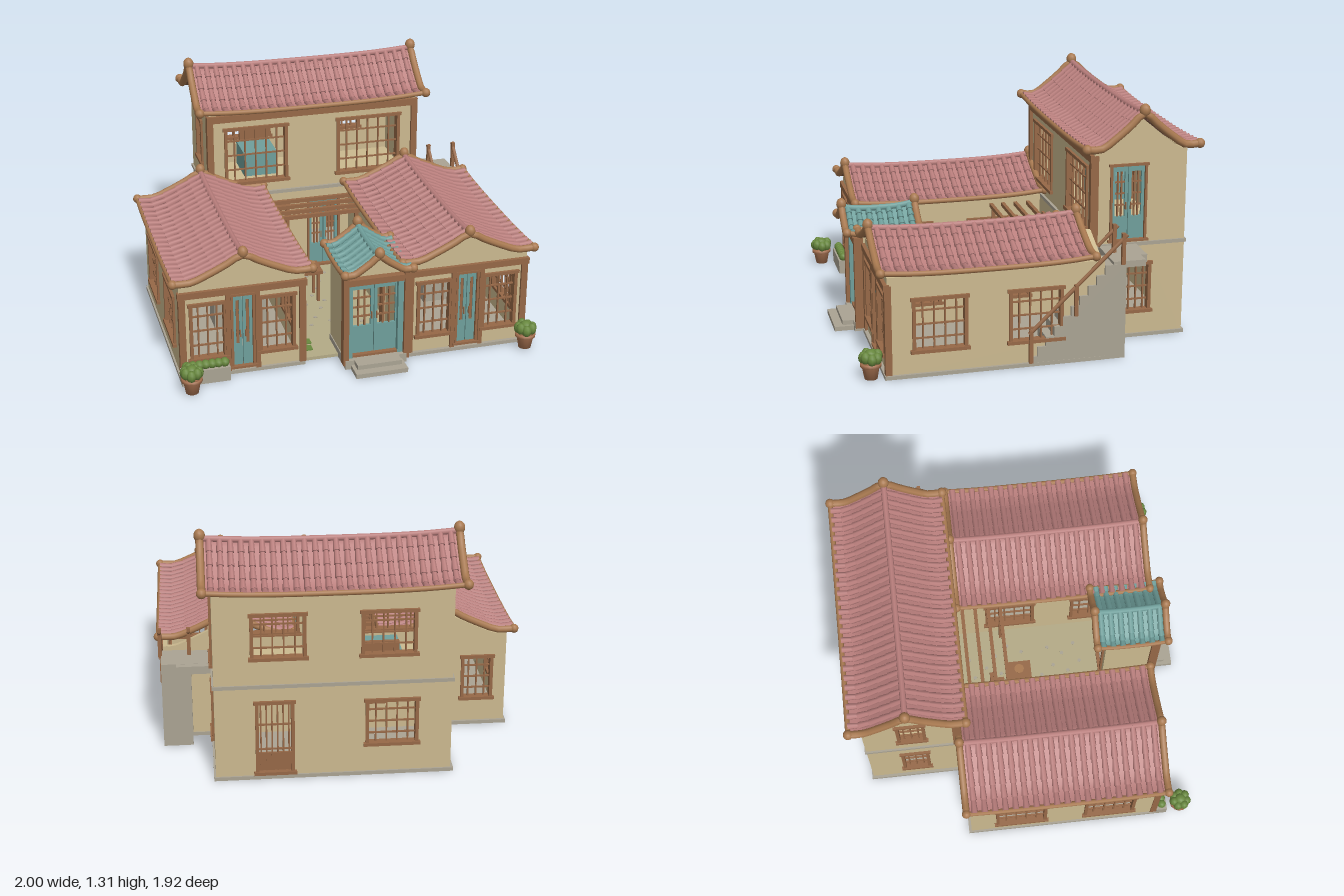
import * as THREE from 'three';
import { mergeGeometries } from 'three/addons/utils/BufferGeometryUtils.js';

const mat = (name, color, side = THREE.FrontSide) => {
  const m = new THREE.MeshStandardMaterial({ color, side });
  m.name = name;
  return m;
};
const V = (x, y, z) => new THREE.Vector3(x, y, z);

export function createModel() {
  const M = {
    cream: mat('cream plaster', 0xcbb98f), wood: mat('brown wood', 0x966847),
    trim: mat('roof trim', 0xa87950), pink: mat('pink tile', 0xb97e7c, THREE.DoubleSide),
    teal: mat('teal paint', 0x6f9f9b, THREE.DoubleSide), stone: mat('grey stone', 0xaaa393),
    ground: mat('courtyard earth', 0xb3aa86), green: mat('leaf green', 0x68883e),
    pot: mat('terracotta', 0xaa7452), soffit: mat('soffit wood', 0x7f5a42, THREE.DoubleSide),
  };
  const model = new THREE.Group();
  model.name = 'courtyardHouse';
  const group = (name, parent = model) => {
    const g = new THREE.Group();
    g.name = name;
    parent.add(g);
    return g;
  };
  const mesh = (parent, name, geo, m, x = 0, y = 0, z = 0) => {
    const o = new THREE.Mesh(geo, m);
    o.name = name;
    o.position.set(x, y, z);
    parent.add(o);
    return o;
  };
  // Box given by its limits on each axis
  const box = (p, name, m, x0, x1, y0, y1, z0, z1) =>
    mesh(p, name, new THREE.BoxGeometry(x1 - x0, y1 - y0, z1 - z0), m, (x0 + x1) / 2, (y0 + y1) / 2, (z0 + z1) / 2);
  const tube = (p, name, pts, r, m) =>
    mesh(p, name, new THREE.TubeGeometry(new THREE.CatmullRomCurve3(pts), pts.length * 2, r, 8), m);

  // Sagging roof profile: height at distance d from the ridge
  const profile = (half, low, ridge) => {
    const g = [1, 0.66, 0.33, 0.06, 0.07];
    const c = new THREE.CatmullRomCurve3(g.map((v, i) => V(i / 4, low + (ridge - low) * v, 0)), false, 'catmullrom', 0.5);
    return d => c.getPoint(Math.min(1, Math.abs(d) / half)).y;
  };

  // Curved gable roof, ridge along local z
  function roof(name, half, len, prof, tile, ribs, ballR) {
    const g = group(name);
    const P = (t, s, dy = 0) => V(t * half, prof(t * half) + 0.02 * Math.abs(s) ** 3 + dy, s * len / 2);
    const sheet = (n, m, dy) => {
      const geo = new THREE.PlaneGeometry(2, 2, 20, 12), a = geo.attributes.position;
      for (let i = 0; i < a.count; i++) {
        const v = P(a.getX(i), -a.getY(i), dy);
        a.setXYZ(i, v.x, v.y, v.z);
      }
      geo.computeVertexNormals();
      mesh(g, n, geo, m);
    };
    sheet('tileBed', tile, 0);
    sheet('soffit', M.soffit, -0.015);
    // Ribs of tapered cover tiles, five courses per slope
    const parts = [], r = len / ribs * 0.31;
    for (let i = 0; i < ribs; i++) for (const k of [-1, 1]) for (let c = 0; c < 5; c++) {
      const s = ((i + 0.5) / ribs * 2 - 1) * 0.97;
      const a = P(k * c / 5, s, 0.006), b = P(k * (c + 1) / 5, s, 0.006), d = a.clone().sub(b);
      const geo = new THREE.CylinderGeometry(r * 0.8, r * 1.1, d.length(), 7);
      geo.applyQuaternion(new THREE.Quaternion().setFromUnitVectors(V(0, 1, 0), d.normalize()));
      geo.translate((a.x + b.x) / 2, (a.y + b.y) / 2, (a.z + b.z) / 2);
      parts.push(geo);
    }
    mesh(g, 'coverTiles', mergeGeometries(parts), tile);
    const along = [-1, -0.75, -0.5, -0.25, 0, 0.25, 0.5, 0.75, 1];
    tube(g, 'ridge', along.map(s => P(0, s, 0.004)), 0.017, tile);
    for (const e of [-1, 1]) {
      tube(g, 'eaveTrim', along.map(s => P(e, s)), 0.014, M.trim);
      tube(g, 'verge', along.map(t => P(t, e)), ballR * 0.78, M.trim);
      const top = P(0, e, 0.018);
      mesh(g, 'ridgeBall', new THREE.SphereGeometry(ballR * 1.1, 12, 10), M.trim, top.x, top.y, top.z).scale.y = 1.2;
      for (const k of [-1, 1]) {
        const v = P(k, e);
        mesh(g, 'eaveBall', new THREE.SphereGeometry(ballR, 12, 8), M.trim, v.x, v.y, v.z);
      }
    }
    return g;
  }

  // Lattice of bars filling a rectangle in the local xy plane
  function lattice(g, x0, x1, y0, y1, cols, rows) {
    for (let i = 1; i < cols; i++) {
      const x = x0 + (x1 - x0) * i / cols;
      box(g, 'latticeBar', M.wood, x - 0.004, x + 0.004, y0, y1, -0.018, -0.006);
    }
    for (let i = 1; i < rows; i++) {
      const y = y0 + (y1 - y0) * i / rows;
      box(g, 'latticeRail', M.wood, x0, x1, y - 0.004, y + 0.004, -0.017, -0.007);
    }
  }
  function frame(g, x0, x1, y0, y1, f = 0.018) {
    box(g, 'jamb', M.wood, x0, x0 + f, y0, y1, -0.03, 0.012);
    box(g, 'jamb', M.wood, x1 - f, x1, y0, y1, -0.03, 0.012);
    box(g, 'head', M.wood, x0 - 0.008, x1 + 0.008, y1 - f, y1, -0.03, 0.015);
    box(g, 'sill', M.wood, x0 - 0.01, x1 + 0.01, y0, y0 + f, -0.03, 0.02);
  }
  function windowUnit(g, x0, x1, y0, y1) {
    frame(g, x0, x1, y0, y1);
    lattice(g, x0, x1, y0, y1, x1 - x0 > 0.3 ? 6 : x1 - x0 > 0.22 ? 5 : 4, 4);
  }
  // Double door: teal lower panels, lattice above
  function doorUnit(g, x0, x1, y0, y1, panel = 0.32) {
    frame(g, x0, x1, y0, y1, 0.013);
    const mid = (x0 + x1) / 2, yp = y0 + (y1 - y0) * panel;
    for (const [a, b, hx] of [[x0 + 0.013, mid - 0.002, mid - 0.014], [mid + 0.002, x1 - 0.013, mid + 0.014]]) {
      box(g, 'doorPanel', M.teal, a, b, y0 + 0.013, yp, -0.02, -0.005);
      for (const e of [a, b - 0.016]) box(g, 'doorStile', M.teal, e, e + 0.016, yp, y1 - 0.013, -0.02, -0.004);
      box(g, 'doorTopRail', M.teal, a, b, y1 - 0.045, y1 - 0.013, -0.02, -0.005);
      lattice(g, a + 0.014, b - 0.014, yp, y1 - 0.04, 3, 4);
      box(g, 'doorHandle', M.wood, hx - 0.003, hx + 0.003, yp + 0.04, yp + 0.08, -0.005, 0.006);
    }
  }
  const slatUnit = (g, x0, x1, y0, y1) => {
    frame(g, x0, x1, y0, y1);
    lattice(g, x0, x1, y0, y1, 7, 3);
    box(g, 'slatPanel', M.wood, x0, x1, y0, y0 + 0.12, -0.02, -0.008);
  };

  // Wall along x (front, back) or z (left, right); openings are [a0, a1, y0, y1, unit]
  const DIR = { front: [0, 1], right: [Math.PI / 2, -1], back: [Math.PI, -1], left: [-Math.PI / 2, 1] };
  function wall(parent, dir, plane, a0, a1, top, openings = []) {
    const [rot, k] = DIR[dir], g = group(dir + 'Wall', parent);
    g.rotation.y = rot;
    g.position[dir === 'front' || dir === 'back' ? 'z' : 'x'] = plane;
    const pts = [[a0, 0.01], [a1, 0.01]];
    for (let i = 0; i <= 16; i++) {
      const a = a1 + (a0 - a1) * i / 16;
      pts.push([a, typeof top === 'number' ? top : top(a) - 0.012]);
    }
    const shape = new THREE.Shape(pts.map(p => new THREE.Vector2(p[0] * k, p[1])));
    for (const [p, q, y0, y1, unit] of openings) {
      const u0 = Math.min(p * k, q * k), u1 = Math.max(p * k, q * k);
      shape.holes.push(new THREE.Path([[u0, y0], [u0, y1], [u1, y1], [u1, y0]].map(c => new THREE.Vector2(...c))));
      unit(g, u0, u1, y0, y1);
    }
    const geo = new THREE.ExtrudeGeometry(shape, { depth: 0.025, bevelEnabled: false });
    mesh(g, 'plaster', geo.translate(0, 0, -0.025), M.cream);
  }
  const W = windowUnit, D = doorUnit;

  // Foundations and courtyard floor
  const base = group('foundation');
  box(base, 'leftSlab', M.stone, -0.95, -0.27, 0, 0.02, -0.36, 0.735);
  box(base, 'rightSlab', M.stone, 0.285, 0.965, 0, 0.02, -0.36, 0.805);
  box(base, 'mainSlab', M.stone, -0.565, 0.7, 0, 0.02, -0.895, -0.36);
  box(base, 'courtyard', M.ground, -0.27, 0.285, 0, 0.018, -0.36, 0.7);
  for (let i = 0; i < 26; i++)
    mesh(base, 'pavingChip', new THREE.CylinderGeometry(0.012, 0.012, 0.003, 5), M.stone,
      -0.18 + (i * 0.137) % 0.4, 0.019, -0.28 + (i * 0.293) % 0.72);
  for (let i = 0; i < 5; i++) box(base, 'grass', M.green, -0.265, -0.2 + 0.01 * (i % 2), 0.018, 0.024, 0.3 + i * 0.07, 0.35 + i * 0.07);

  // Main two-storey house
  const main = group('mainHouse'), mp = profile(0.31, 1.045, 1.235), mz = -0.6275;
  wall(main, 'front', -0.37, -0.55, 0.69, 1.04, [[-0.46, -0.085, 0.6, 0.955, W], [0.21, 0.595, 0.6, 0.955, W],
    [-0.26, -0.08, 0.17, 0.44, W], [0.03, 0.23, 0.02, 0.46, D]]);
  wall(main, 'back', -0.885, -0.55, 0.69, 1.04, [[-0.36, -0.07, 0.68, 0.94, W], [0.21, 0.5, 0.68, 0.94, W],
    [-0.375, -0.095, 0.17, 0.44, W], [0.275, 0.48, 0.025, 0.45, slatUnit]]);
  const mg = z => mp(z - mz);
  wall(main, 'right', 0.69, -0.885, -0.37, mg, [[-0.665, -0.46, 0.55, 0.98, D], [-0.7, -0.54, 0.14, 0.43, W]]);
  wall(main, 'left', -0.55, -0.885, -0.37, mg, [[-0.7, -0.54, 0.67, 0.95, W], [-0.7, -0.54, 0.14, 0.43, W]]);
  box(main, 'upperFloor', M.cream, -0.53, 0.67, 0.515, 0.535, -0.87, -0.39);
  for (const [x0, x1, z0, z1] of [[-0.56, 0.7, -0.375, -0.355], [-0.56, 0.7, -0.893, -0.88], [-0.56, -0.545, -0.893, -0.36], [0.685, 0.7, -0.893, -0.36]])
    box(main, 'beltCourse', M.stone, x0, x1, 0.522, 0.542, z0, z1);
  for (const x of [-0.56, 0.662]) box(main, 'cornerPost', M.wood, x, x + 0.036, 0.54, 1.03, -0.395, -0.352);
  box(main, 'topBeam', M.wood, -0.56, 0.698, 0.995, 1.035, -0.372, -0.35);
  box(main, 'bed', M.teal, -0.29, -0.09, 0.535, 0.68, -0.84, -0.62);
  box(main, 'bedHead', M.wood, -0.27, -0.09, 0.535, 0.75, -0.86, -0.84);
  const mr = roof('mainRoof', 0.31, 1.34, mp, M.pink, 24, 0.027);
  mr.rotation.y = Math.PI / 2;
  mr.position.set(0.065, 0, mz);

  // Two side wings
  const wp = profile(0.37, 0.55, 0.682);
  for (const [k, cx, zf, zb] of [[-1, -0.605, 0.72, -0.345], [1, 0.615, 0.785, -0.355]]) {
    const g = group(k < 0 ? 'leftWing' : 'rightWing'), x0 = cx - 0.335, x1 = cx + 0.335, o = zf - 0.785;
    const sides = [[0.37 + o, 0.66 + o, 0.13, 0.43, W], [-0.135 + o, 0.155 + o, 0.13, 0.43, W]];
    wall(g, 'front', zf, x0, x1, x => wp(x - cx), [[x0 + 0.05, x0 + 0.25, 0.1, 0.44, W],
      [cx - 0.065, cx + 0.065, 0.03, 0.47, D], [x1 - 0.25, x1 - 0.05, 0.1, 0.44, W]]);
    wall(g, 'back', zb, k < 0 ? x0 : 0.69, k < 0 ? -0.55 : x1, x => wp(x - cx), k < 0 ? [[-0.87, -0.69, 0.15, 0.42, W]] : []);
    wall(g, 'right', x1, zb, zf, 0.545, sides);
    wall(g, 'left', x0, zb, zf, 0.545, sides);
    for (const x of [x0 - 0.005, cx - 0.092, cx + 0.067, x1 - 0.03])
      box(g, 'frontPost', M.wood, x, x + (Math.abs(x - cx) > 0.2 ? 0.035 : 0.025), 0.02, 0.5, zf - 0.02, zf + 0.015);
    box(g, 'frontBeam', M.wood, x0 - 0.01, x1 + 0.01, 0.475, 0.51, zf - 0.01, zf + 0.02);
    box(g, 'counter', M.stone, cx - 0.06, cx + 0.24, 0.02, 0.2, 0.12, 0.26);
    roof(k < 0 ? 'leftRoof' : 'rightRoof', 0.37, 1.12, wp, M.pink, 19, 0.025).position.set(cx - (k > 0 ? 0.01 : 0), 0, zf - 0.525);
  }
  box(model, 'innerTealDoor', M.teal, 0.275, 0.285, 0.03, 0.46, 0.52, 0.66);

  // Entrance gate
  const gate = group('gate'), gp = profile(0.185, 0.548, 0.645), gx = 0.09;
  const gg = x => gp(x - gx);
  wall(gate, 'front', 0.8, -0.075, 0.255, gg, [[-0.057, 0.237, 0.05, 0.485, (g, a, b, c, d) => D(g, a, b, c, d, 0.4)]]);
  wall(gate, 'back', 0.53, -0.075, 0.255, gg, [[-0.045, 0.225, 0.02, 0.46, frame]]);
  wall(gate, 'left', -0.075, 0.53, 0.8, 0.54);
  wall(gate, 'right', 0.255, 0.53, 0.8, 0.54);
  for (const x of [-0.09, 0.245]) {
    box(gate, 'gatePost', M.wood, x, x + 0.03, 0.02, 0.54, 0.795, 0.845);
    box(gate, 'gateJamb', M.teal, x < 0 ? -0.06 : 0.215, x < 0 ? -0.035 : 0.245, 0.05, 0.49, 0.795, 0.825);
  }
  box(gate, 'gateBeam', M.wood, -0.09, 0.275, 0.485, 0.52, 0.795, 0.84);
  box(gate, 'gateFloor', M.stone, -0.08, 0.26, 0, 0.05, 0.53, 0.85);
  box(gate, 'upperStep', M.stone, -0.03, 0.215, 0, 0.05, 0.85, 0.91);
  box(gate, 'lowerStep', M.stone, -0.05, 0.235, 0, 0.025, 0.85, 0.957);
  roof('gateRoof', 0.185, 0.405, gp, M.teal, 7, 0.025).position.set(gx, 0, 0.678);

  // Outside stair, landing and handrails
  const stair = group('stair'), n = 10, pts = [[0.47, 0], [-0.05, 0]];
  for (let i = 0; i < n; i++) {
    const y = 0.52 * (i + 1) / n;
    pts.push([-0.05 + 0.045 * i, y], [i === n - 1 ? 0.47 : -0.05 + 0.045 * (i + 1), y]);
  }
  const sg = new THREE.ExtrudeGeometry(new THREE.Shape(pts.map(p => new THREE.Vector2(...p))), { depth: 0.16, bevelEnabled: false });
  mesh(stair, 'steps', sg, M.stone, 0.803).rotation.y = Math.PI / 2;
  box(stair, 'landing', M.stone, 0.69, 0.96, 0.5, 0.535, -0.575, -0.4);
  box(stair, 'landingInner', M.stone, 0.69, 0.88, 0.49, 0.534, -0.61, -0.42);
  tube(stair, 'outerRail', [V(0.965, 0.18, 0.05), V(0.965, 0.43, -0.21), V(0.965, 0.68, -0.47)], 0.011, M.wood);
  tube(stair, 'innerRail', [V(0.81, 0.575, -0.36), V(0.81, 0.63, -0.415), V(0.81, 0.68, -0.47)], 0.01, M.wood);
  for (const [x, y0, y1, z] of [[0.965, 0.02, 0.2, 0.04], [0.965, 0.26, 0.43, -0.2], [0.965, 0.52, 0.69, -0.45], [0.81, 0.52, 0.69, -0.45]])
    box(stair, 'railPost', M.wood, x - 0.01, x + 0.01, y0, y1, z - 0.01, z + 0.01);

  // Courtyard pergola, table with jars, and chair
  const yard = group('courtyardFurniture');
  for (const z of [-0.27, -0.195, -0.12, -0.05]) box(yard, 'pergolaBeam', M.wood, -0.275, 0.285, 0.49, 0.512, z - 0.01, z + 0.01);
  for (const x of [-0.215, 0.24]) box(yard, 'pergolaPost', M.wood, x - 0.01, x + 0.01, 0.018, 0.49, -0.06, -0.04);
  box(yard, 'tableTop', M.wood, -0.2, 0, 0.195, 0.215, -0.04, 0.1);
  for (const x of [-0.185, -0.03]) for (const z of [-0.03, 0.075]) box(yard, 'tableLeg', M.wood, x, x + 0.015, 0.018, 0.2, z, z + 0.015);
  for (const x of [-0.155, -0.055]) mesh(yard, 'jar', new THREE.CylinderGeometry(0.028, 0.02, 0.03, 14), M.trim, x, 0.228, 0.03);
  box(yard, 'chairSeat', M.wood, -0.14, -0.06, 0.12, 0.135, -0.12, -0.06);
  box(yard, 'chairBack', M.wood, -0.14, -0.06, 0.018, 0.24, -0.145, -0.12);

  // Potted shrubs and front planter
  const potShape = [[0, 0], [0.034, 0], [0.046, 0.066], [0.056, 0.068], [0.056, 0.086], [0.044, 0.086], [0.042, 0.074], [0, 0.074]];
  const leaf = new THREE.SphereGeometry(0.026, 8, 6);
  for (const x of [-0.912, 0.93]) {
    const g = group('pottedShrub');
    g.position.set(x, 0.008, 0.872);
    mesh(g, 'pot', new THREE.LatheGeometry(potShape.map(p => new THREE.Vector2(...p)), 14), M.pot);
    mesh(g, 'leafCrown', leaf, M.green, 0, 0.128, 0).scale.set(1.3, 1.1, 1.3);
    for (let i = 0; i < 7; i++) {
      const a = i / 7 * Math.PI * 2;
      mesh(g, 'leafClump', leaf, M.green, Math.cos(a) * 0.038, 0.112 + 0.008 * (i % 2), Math.sin(a) * 0.038).scale.y = 1.25;
    }
  }
  const planter = group('planter');
  box(planter, 'trough', M.stone, -0.95, -0.69, 0, 0.08, 0.735, 0.795);
  for (let i = 0; i < 7; i++) mesh(planter, 'shrub', leaf, M.green, -0.92 + i * 0.034, 0.098, 0.765);
  return model;
}
